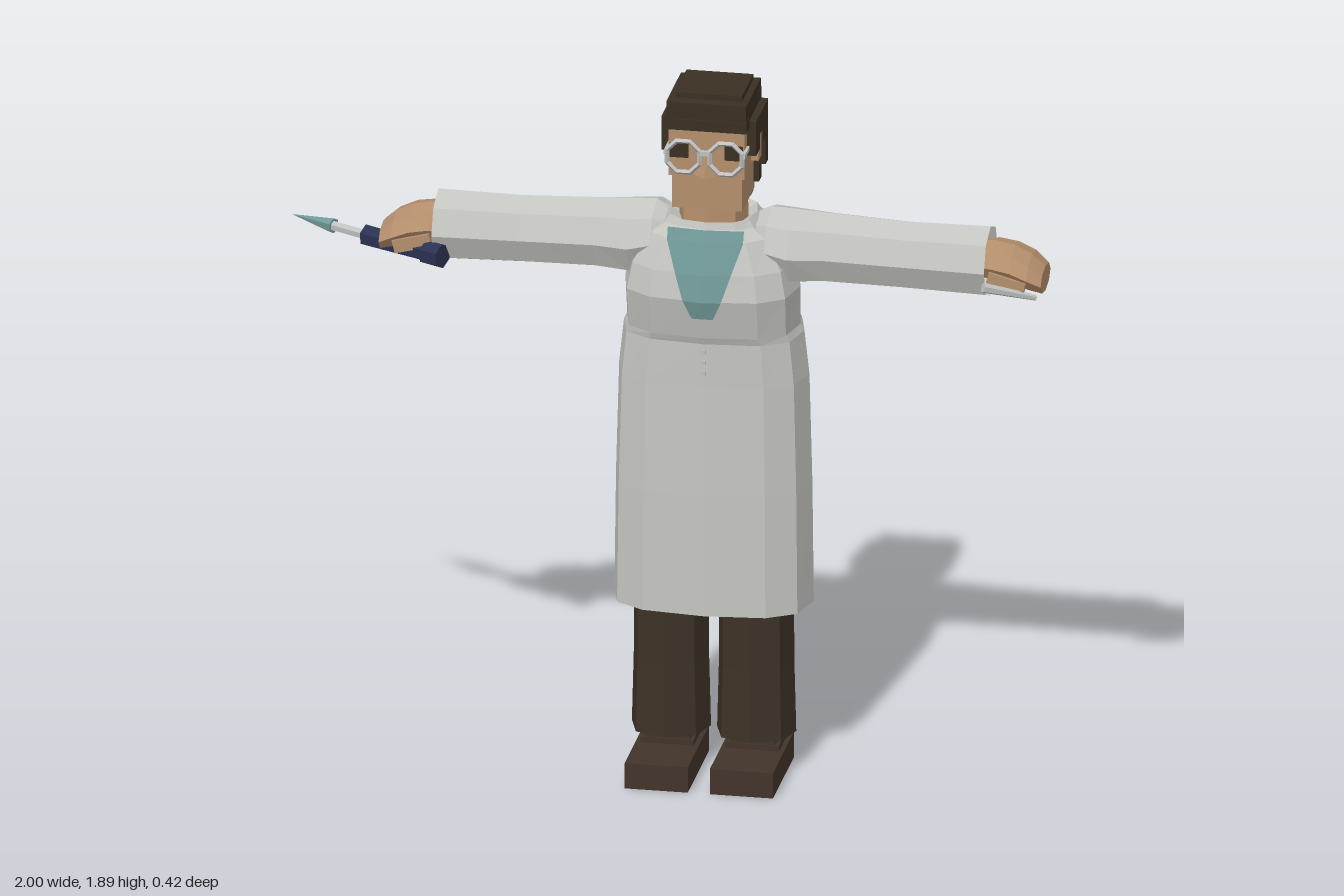
import * as THREE from 'three';

const CX = 0.127; // the body stands off centre because of the held tool

const mat = (name, color, side = THREE.FrontSide) => {
  const m = new THREE.MeshStandardMaterial({ color, flatShading: true, side });
  m.name = name;
  return m;
};

// Loft of rings stacked along y; section: [y, rx, rz, cx, cz]
function loft(sections, sides, { power = 1, capped = true } = {}) {
  const shape = (v) => Math.sign(v) * Math.pow(Math.abs(v), power);
  const rings = sections.map(([y, rx, rz, cx = 0, cz = 0]) =>
    Array.from({ length: sides }, (_, j) => {
      const a = (j / sides) * Math.PI * 2;
      return [cx + rx * shape(Math.sin(a)), y, cz + rz * shape(Math.cos(a))];
    }));
  const pos = [];
  const tri = (a, b, c) => pos.push(...a, ...b, ...c);
  for (let i = 0; i < rings.length - 1; i++) {
    for (let j = 0; j < sides; j++) {
      const k = (j + 1) % sides;
      const [a, b, c, d] = [rings[i][j], rings[i][k], rings[i + 1][k], rings[i + 1][j]];
      tri(a, b, c);
      tri(a, c, d);
    }
  }
  if (capped) {
    const lo = rings[0], hi = rings[rings.length - 1];
    for (let j = 1; j < sides - 1; j++) {
      tri(lo[0], lo[j + 1], lo[j]);
      tri(hi[0], hi[j], hi[j + 1]);
    }
  }
  return fromTriangles(pos);
}

function fromTriangles(pos) {
  const g = new THREE.BufferGeometry();
  g.setAttribute('position', new THREE.Float32BufferAttribute(pos, 3));
  g.computeVertexNormals();
  return g;
}

export function createModel() {
  const cloth = mat('coat grey', 0xc4c5c0, THREE.DoubleSide);
  const skin = mat('skin', 0xb58f6d);
  const hairMat = mat('dark hair', 0x3a2f23);
  const trouser = mat('trouser brown', 0x3c3226);
  const shoeMat = mat('shoe brown', 0x42342a);
  const teal = mat('teal', 0x719898, THREE.DoubleSide);
  const navy = mat('navy handle', 0x2b3152);
  const metal = mat('metal', 0xbfc1c0);

  const model = new THREE.Group();
  model.name = 'figure';
  const body = new THREE.Group();
  body.name = 'body';
  body.position.x = CX;
  model.add(body);

  const add = (name, geo, material, x = 0, y = 0, z = 0, parent = body) => {
    const m = new THREE.Mesh(geo, material);
    m.name = name;
    m.position.set(x, y, z);
    parent.add(m);
    return m;
  };
  // Box given by its limits
  const block = (name, material, x0, x1, y0, y1, z0, z1) =>
    add(name, new THREE.BoxGeometry(x1 - x0, y1 - y0, z1 - z0), material,
      (x0 + x1) / 2, (y0 + y1) / 2, (z0 + z1) / 2);

  // Long coat: [y, half width, front z, back z]
  const coat = [
    [0.47, 0.262, 0.155, -0.162], [0.8, 0.258, 0.15, -0.16], [1.1, 0.25, 0.142, -0.155],
    [1.22, 0.237, 0.14, -0.15], [1.24, 0.228, 0.148, -0.15], [1.35, 0.23, 0.174, -0.147],
    [1.42, 0.215, 0.16, -0.142], [1.5, 0.17, 0.13, -0.132], [1.535, 0.105, 0.105, -0.115],
  ].map(([y, w, f, b]) => [y, w, (f - b) / 2, 0, (f + b) / 2]);
  add('coat', loft(coat, 12, { power: 0.7, capped: false }), cloth);
  add('collar', loft([[1.5, 0.15, 0.12], [1.545, 0.115, 0.105], [1.525, 0.085, 0.08]], 12,
    { power: 0.8, capped: false }), cloth);

  // Shirt panel folded along the middle: [y, half width, middle z, edge z]
  const rows = [
    [1.3, 0.028, 0.168, 0.166], [1.35, 0.05, 0.18, 0.175], [1.42, 0.073, 0.166, 0.158],
    [1.5, 0.1, 0.137, 0.126], [1.53, 0.1, 0.123, 0.113],
  ];
  const shirt = [];
  for (let i = 0; i < rows.length - 1; i++) {
    const [y0, w0, m0, e0] = rows[i], [y1, w1, m1, e1] = rows[i + 1];
    const p = [-w0, y0, e0], q = [0, y0, m0], r = [w0, y0, e0];
    const s = [-w1, y1, e1], t = [0, y1, m1], u = [w1, y1, e1];
    shirt.push(...p, ...q, ...t, ...p, ...t, ...s, ...q, ...r, ...u, ...q, ...u, ...t);
  }
  add('shirt', fromTriangles(shirt), teal);
  for (const y of [1.14, 1.17, 1.2]) add('button', new THREE.BoxGeometry(0.01, 0.01, 0.008), metal, 0, y, 0.141);

  // Legs and shoes
  for (const s of [-1, 1]) {
    const x = s * 0.112;
    add('trouserLeg', loft([[0.105, 0.104, 0.104], [0.3, 0.099, 0.1], [0.5, 0.098, 0.1], [0.9, 0.09, 0.095]],
      8, { power: 0.8 }), trouser, x, 0, -0.003);
    block('ankle', shoeMat, x - 0.06, x + 0.06, 0.06, 0.12, -0.08, 0.055);
    block('shoe', shoeMat, x - 0.083, x + 0.083, 0, 0.07, -0.085, 0.213);
    block('heel', shoeMat, x - 0.07, x + 0.07, 0.07, 0.085, -0.083, 0.06);
  }

  // Arms lofted outward; x of each section is minus the world height
  for (const s of [1, -1]) {
    const arm = new THREE.Group();
    arm.name = s > 0 ? 'leftArm' : 'rightArm';
    arm.position.z = -0.008;
    if (s < 0) arm.rotation.y = Math.PI;
    body.add(arm);
    const sleeve = loft([
      [0.09, 0.025, 0.06, -1.5], [0.15, 0.09, 0.11, -1.468], [0.21, 0.1, 0.115, -1.455],
      [0.3, 0.095, 0.1, -1.455], [0.5, 0.092, 0.094, -1.449], [0.726, 0.096, 0.098, -1.447],
    ], 8, { capped: false });
    const hand = loft([
      [0.66, 0.045, 0.065, -1.455], [0.74, 0.05, 0.082, -1.456], [0.79, 0.047, 0.088, -1.449],
      [0.835, 0.045, 0.086, -1.43], [0.87, 0.034, 0.07, -1.41],
    ], 8);
    for (const g of [sleeve, hand]) g.rotateZ(-Math.PI / 2);
    add('sleeve', sleeve, cloth, 0, 0, 0, arm);
    add('hand', hand, skin, 0, 0, 0, arm);
    const thumb = add('thumb', new THREE.BoxGeometry(0.1, 0.035, 0.035), skin, s * 0.78, 1.418, 0.06);
    thumb.rotation.z = s * -0.25;
  }

  // Neck and face
  add('neck', loft([[1.44, 0.092, 0.085], [1.59, 0.09, 0.08]], 8, { power: 0.8 }), skin);
  block('jaw', skin, -0.092, 0.092, 1.578, 1.69, -0.08, 0.095);
  block('face', skin, -0.1, 0.1, 1.67, 1.84, -0.085, 0.104);
  for (const s of [-1, 1]) {
    block('eye', hairMat, s * 0.072 - 0.024, s * 0.072 + 0.024, 1.722, 1.762, 0.1, 0.108);
    block('ear', skin, s * 0.108 - 0.012, s * 0.108 + 0.012, 1.69, 1.765, -0.025, 0.015);
  }
  const nose = new THREE.CylinderGeometry(0.006, 0.034, 0.055, 4);
  add('nose', nose, skin, 0, 1.705, 0.104);

  // Glasses
  for (const s of [-1, 1]) {
    const rim = new THREE.TorusGeometry(0.046, 0.007, 4, 8);
    rim.rotateZ(Math.PI / 8);
    add('glassesRim', rim, metal, s * 0.056, 1.735, 0.132);
    block('glassesArm', metal, s * 0.103 - 0.004, s * 0.103 + 0.004, 1.74, 1.752, 0.02, 0.136);
  }
  block('glassesBridge', metal, -0.014, 0.014, 1.742, 1.754, 0.126, 0.138);

  // Hair in stepped blocks with a bun
  block('hairTop', hairMat, -0.088, 0.088, 1.86, 1.89, -0.085, 0.075);
  block('hairCrown', hairMat, -0.105, 0.105, 1.82, 1.875, -0.1, 0.108);
  block('hairFringe', hairMat, -0.106, 0.106, 1.8, 1.83, 0.07, 0.112);
  block('hairBack', hairMat, -0.106, 0.106, 1.6, 1.85, -0.105, -0.065);
  block('hairNape', hairMat, -0.085, 0.085, 1.56, 1.61, -0.102, -0.065);
  for (const s of [-1, 1]) {
    const side = (y0, y1, z0, z1) =>
      block('hairSide', hairMat, s * 0.11 - 0.014, s * 0.11 + 0.014, y0, y1, z0, z1);
    side(1.765, 1.82, -0.1, 0.07);
    side(1.725, 1.77, 0.015, 0.07);
    side(1.725, 1.77, -0.1, -0.025);
    side(1.65, 1.73, -0.1, -0.065);
  }
  const bun = new THREE.SphereGeometry(0.057, 8, 5);
  bun.scale(1.2, 1, 1);
  add('hairBun', bun, hairMat, 0, 1.675, -0.155);

  // Pointed tool in the right hand, built along +y from its butt
  const tool = new THREE.Group();
  tool.name = 'pointedTool';
  tool.position.set(-0.58, 1.395, 0.085);
  tool.quaternion.setFromUnitVectors(new THREE.Vector3(0, 1, 0), new THREE.Vector3(-0.894, 0, -0.447));
  model.add(tool);
  const rod = (name, material, r0, r1, from, to) =>
    add(name, new THREE.CylinderGeometry(r1, r0, to - from, 6), material, 0, (from + to) / 2, 0, tool);
  rod('toolButt', navy, 0.034, 0.034, -0.012, 0.04);
  rod('toolHandle', navy, 0.027, 0.03, 0.03, 0.235);
  rod('toolShaft', metal, 0.014, 0.014, 0.235, 0.345);
  rod('toolTip', teal, 0.021, 0.001, 0.34, 0.47);

  // Small metal instrument in the left hand
  const probe = add('probe', new THREE.CylinderGeometry(0.008, 0.014, 0.15, 6), metal, 0.92, 1.402, 0.09, model);
  probe.quaternion.setFromUnitVectors(new THREE.Vector3(0, -1, 0), new THREE.Vector3(-0.84, 0.3, 0.45).normalize());
  return model;
}
